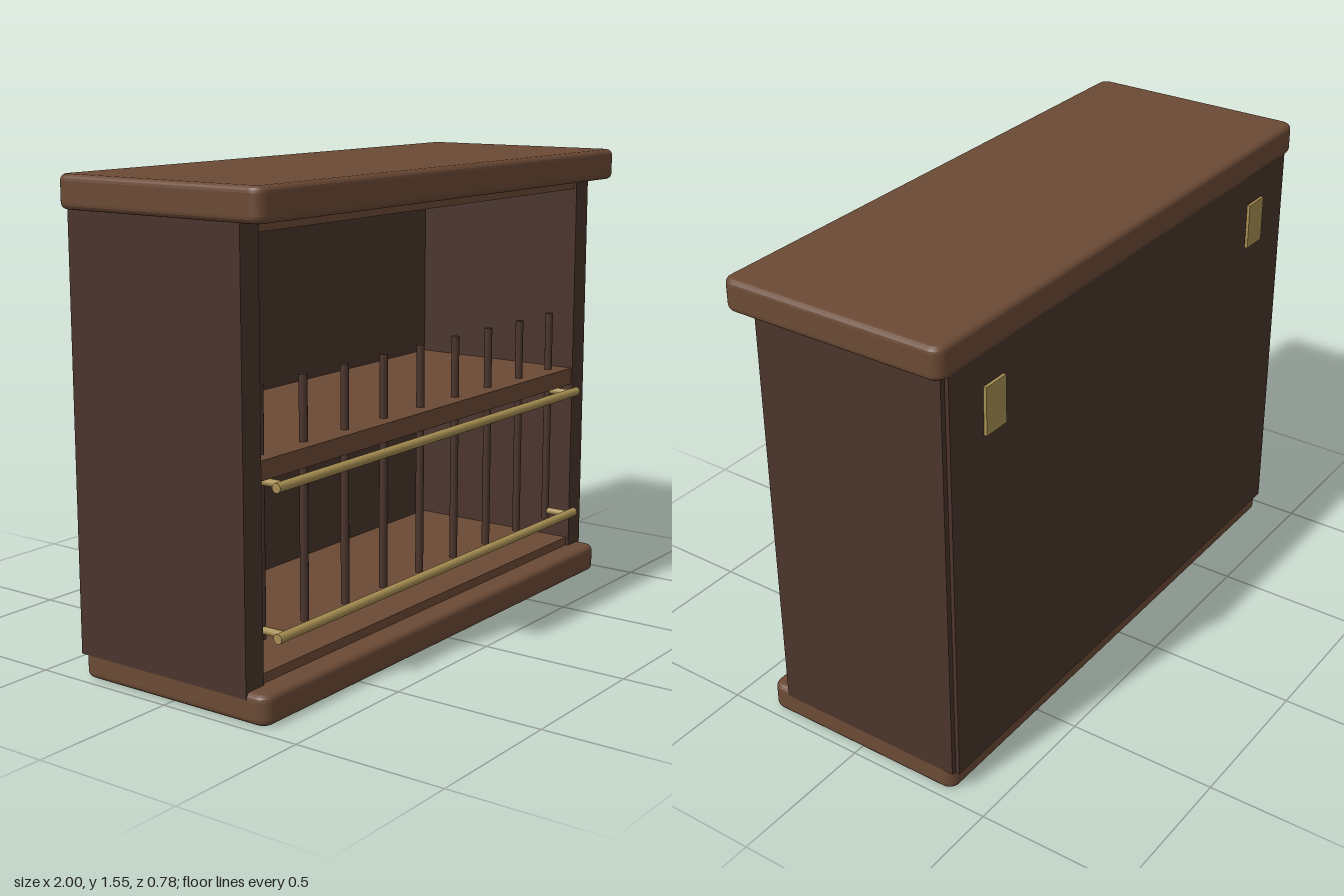
import * as THREE from 'three';

const lightWood = new THREE.MeshStandardMaterial({ color: 0x6b4a35 });
const darkWood = new THREE.MeshStandardMaterial({ color: 0x4a342c });
const brass = new THREE.MeshStandardMaterial({ color: 0xa68e52 });

export function createModel() {
  const model = new THREE.Group();

  function add(name, geometry, material, x = 0, y = 0, z = 0) {
    const mesh = new THREE.Mesh(geometry, material);
    mesh.name = name;
    mesh.position.set(x, y, z);
    model.add(mesh);
    return mesh;
  }

  // Box given by its lower and upper limits
  function box(name, material, [x0, x1], [y0, y1], [z0, z1]) {
    return add(name, new THREE.BoxGeometry(x1 - x0, y1 - y0, z1 - z0), material,
      (x0 + x1) / 2, (y0 + y1) / 2, (z0 + z1) / 2);
  }

  // Horizontal board with rounded corners and softened edges
  function slab(name, halfWidth, [y0, y1], [z0, z1], corner, bevel) {
    const w = halfWidth - bevel, d = (z1 - z0) / 2 - bevel, r = corner - bevel;
    const shape = new THREE.Shape();
    shape.absarc(w - r, d - r, r, 0, Math.PI / 2);
    shape.absarc(-w + r, d - r, r, Math.PI / 2, Math.PI);
    shape.absarc(-w + r, -d + r, r, Math.PI, Math.PI * 1.5);
    shape.absarc(w - r, -d + r, r, Math.PI * 1.5, Math.PI * 2);
    shape.closePath();
    const geometry = new THREE.ExtrudeGeometry(shape, {
      depth: y1 - y0 - 2 * bevel, bevelSize: bevel, bevelThickness: bevel,
      bevelSegments: 4, curveSegments: 6,
    });
    geometry.rotateX(-Math.PI / 2);
    return add(name, geometry, lightWood, 0, y0 + bevel, (z0 + z1) / 2);
  }

  // Top and base
  slab('topSlab', 1, [1.45, 1.555], [-0.385, 0.39], 0.04, 0.02);
  slab('baseSlab', 0.97, [0, 0.095], [-0.363, 0.367], 0.04, 0.02);

  // Carcass
  for (const [name, s] of [['leftSide', 1], ['rightSide', -1]]) {
    const side = box(name, darkWood, [0.89, 0.971], [0.075, 1.455], [-0.365, 0.295]);
    side.position.x *= s;
  }
  box('backPanel', darkWood, [-0.953, 0.953], [0.07, 1.455], [-0.378, -0.355]);
  box('innerFloor', lightWood, [-0.89, 0.89], [0.08, 0.125], [-0.356, 0.285]);
  box('innerCeiling', lightWood, [-0.89, 0.89], [1.415, 1.455], [-0.356, 0.285]);
  box('shelf', lightWood, [-0.89, 0.89], [0.705, 0.765], [-0.356, 0.29]);

  // Row of upright dowels passing through the shelf
  const dowel = new THREE.CylinderGeometry(0.0135, 0.0135, 0.765, 16);
  for (let i = 0; i < 9; i++) {
    add('dowel', dowel, darkWood, -0.822 + i * 0.2055, 0.5875, 0.233);
  }

  // Brass rails with a short bracket at each end
  const rail = new THREE.CylinderGeometry(0.0155, 0.0155, 1.73, 20).rotateZ(Math.PI / 2);
  const bracket = new THREE.CylinderGeometry(0.012, 0.012, 0.095, 12).rotateX(Math.PI / 2);
  for (const y of [0.687, 0.235]) {
    add('rail', rail, brass, 0, y, 0.328);
    for (const s of [-1, 1]) add('railBracket', bracket, brass, s * 0.825, y, 0.2805);
  }

  // Mounting plates on the back
  const plate = new THREE.BoxGeometry(0.095, 0.155, 0.012);
  for (const s of [-1, 1]) add('mountingPlate', plate, brass, s * 0.75, 1.275, -0.382);

  return model;
}
